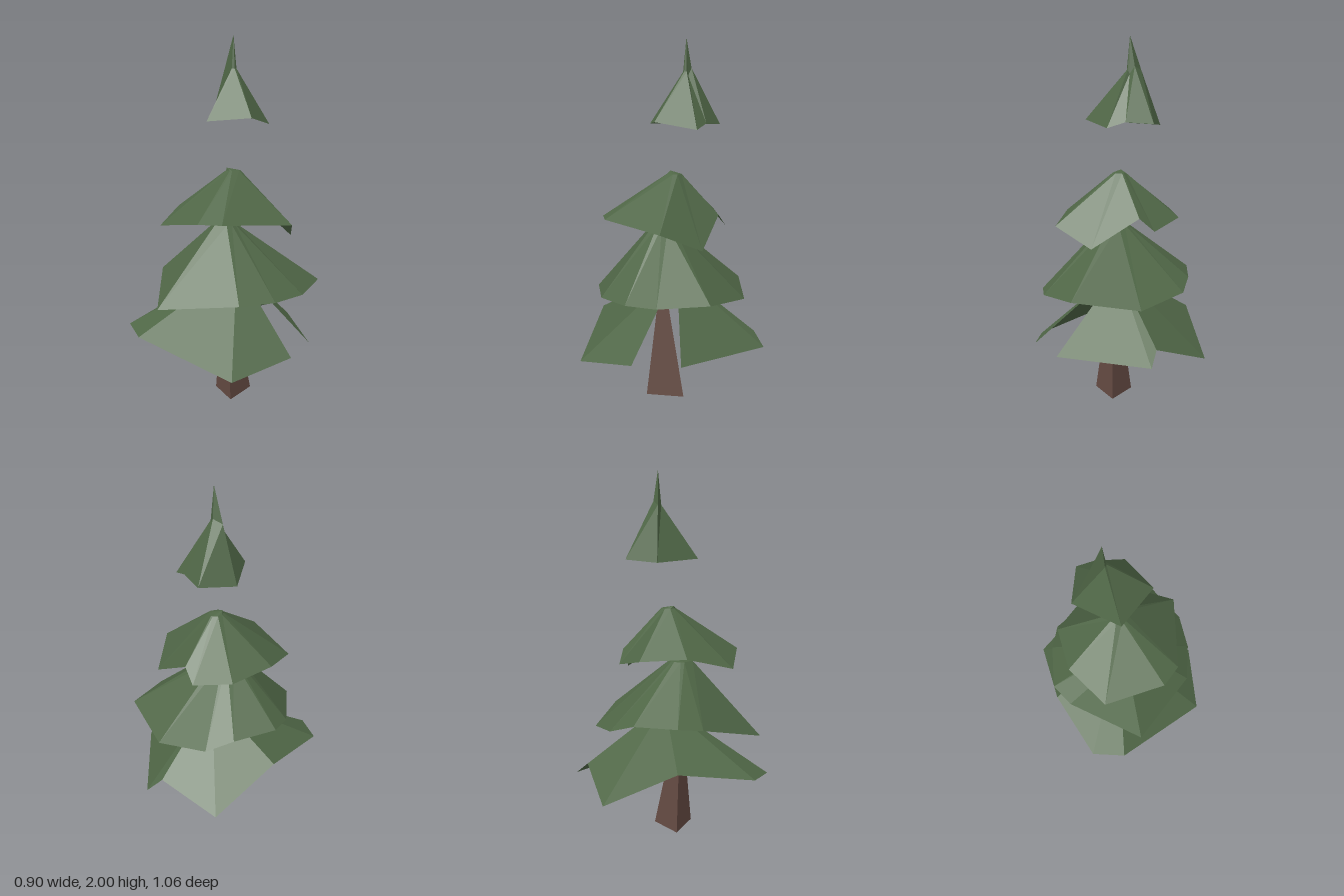
import * as THREE from 'three';

const foliage = new THREE.MeshStandardMaterial({ color: 0x4f6646, side: THREE.DoubleSide, flatShading: true });
foliage.name = 'pine green';
const bark = new THREE.MeshStandardMaterial({ color: 0x644a42, flatShading: true });
bark.name = 'bark brown';

// Faceted skin through rings of [x, y, z] points; each ring runs counter-clockwise seen from above
function loft(rings, closed = true) {
  const n = rings[0].length;
  const index = [];
  for (let r = 0; r < rings.length - 1; r++) {
    for (let i = 0; i < (closed ? n : n - 1); i++) {
      const j = (i + 1) % n;
      const a = r * n + i, b = r * n + j, c = a + n, d = b + n;
      index.push(a, b, d, a, d, c);
    }
  }
  const indexed = new THREE.BufferGeometry();
  indexed.setAttribute('position', new THREE.Float32BufferAttribute(rings.flat(2), 3));
  indexed.setIndex(index);
  const geometry = indexed.toNonIndexed();
  geometry.computeVertexNormals();
  return geometry;
}

const repeat = (point, ring) => ring.map(() => point);

// Small ring around a crown point, following the directions of the rim points
function crownRing([cx, cy, cz], radius, rim) {
  return rim.map(([x, , z]) => {
    const len = Math.hypot(x - cx, z - cz);
    return [cx + radius * (x - cx) / len, cy, cz + radius * (z - cz) / len];
  });
}

export function createModel() {
  const tree = new THREE.Group();
  tree.name = 'pineTree';
  const add = (name, geometry, material) => {
    const mesh = new THREE.Mesh(geometry, material);
    mesh.name = name;
    tree.add(mesh);
  };

  // Three-sided tapering trunk with a closed base
  const base = [[0.08, 0, 0.12], [0.04, 0, -0.09], [-0.11, 0, 0.04]];
  add('trunk', loft([repeat([0, 0, 0.02], base), base, repeat([-0.01, 0.74, 0.06], base)]), bark);

  // Lowest branches, split open on one side
  const lowest = [
    [0.38, 0.32, -0.2], [-0.04, 0.33, -0.53], [-0.09, 0.4, -0.46], [-0.41, 0.28, -0.34],
    [-0.45, 0.47, 0.05], [-0.38, 0.42, 0.45], [-0.21, 0.4, 0.53], [0.35, 0.26, 0.4], [0.45, 0.32, 0.05],
  ];
  add('lowestBranches', loft([lowest, repeat([-0.01, 0.73, -0.03], lowest)], false), foliage);

  // Two middle skirts of branches with blunt crowns
  const skirts = [
    {
      name: 'lowerMiddleBranches', crown: [-0.02, 0.98, 0.06], radius: 0.065, peak: [-0.05, 0.99, 0.05],
      rim: [
        [0.42, 0.63, -0.08], [0.33, 0.65, -0.34], [-0.02, 0.6, -0.42], [-0.29, 0.65, -0.31], [-0.37, 0.7, -0.18],
        [-0.45, 0.71, 0.05], [-0.4, 0.69, 0.18], [-0.09, 0.57, 0.5], [0.3, 0.62, 0.29], [0.39, 0.62, 0.11],
      ],
    },
    {
      name: 'upperMiddleBranches', crown: [-0.02, 1.27, -0.01], radius: 0.04, peak: [-0.04, 1.285, 0.02],
      rim: [
        [0.35, 1.0, -0.07], [0.2, 0.9, -0.25], [-0.06, 1.05, -0.255], [-0.14, 0.98, -0.27], [-0.32, 1.03, -0.15],
        [-0.35, 1.05, 0.095], [-0.24, 0.98, 0.335], [0.09, 1.03, 0.375], [0.2, 1.03, 0.31],
      ],
    },
  ];
  for (const { name, crown, radius, peak, rim } of skirts) {
    add(name, loft([rim, crownRing(crown, radius, rim), repeat(peak, rim)]), foliage);
  }

  // Pointed treetop with a narrow shoulder below the tip
  const top = [
    [0.155, 1.56, 0.035], [0.095, 1.52, -0.18], [0, 1.55, -0.2],
    [-0.145, 1.54, -0.23], [-0.24, 1.53, -0.06], [-0.065, 1.54, 0.15],
  ];
  const shoulder = [
    [-0.05, 1.82, -0.055], [-0.05, 1.82, -0.07], [-0.06, 1.8, -0.075],
    [-0.085, 1.84, -0.085], [-0.13, 1.82, -0.06], [-0.062, 1.82, -0.045],
  ];
  add('treetop', loft([top, shoulder, repeat([-0.065, 2, -0.062], top)]), foliage);

  return tree;
}
